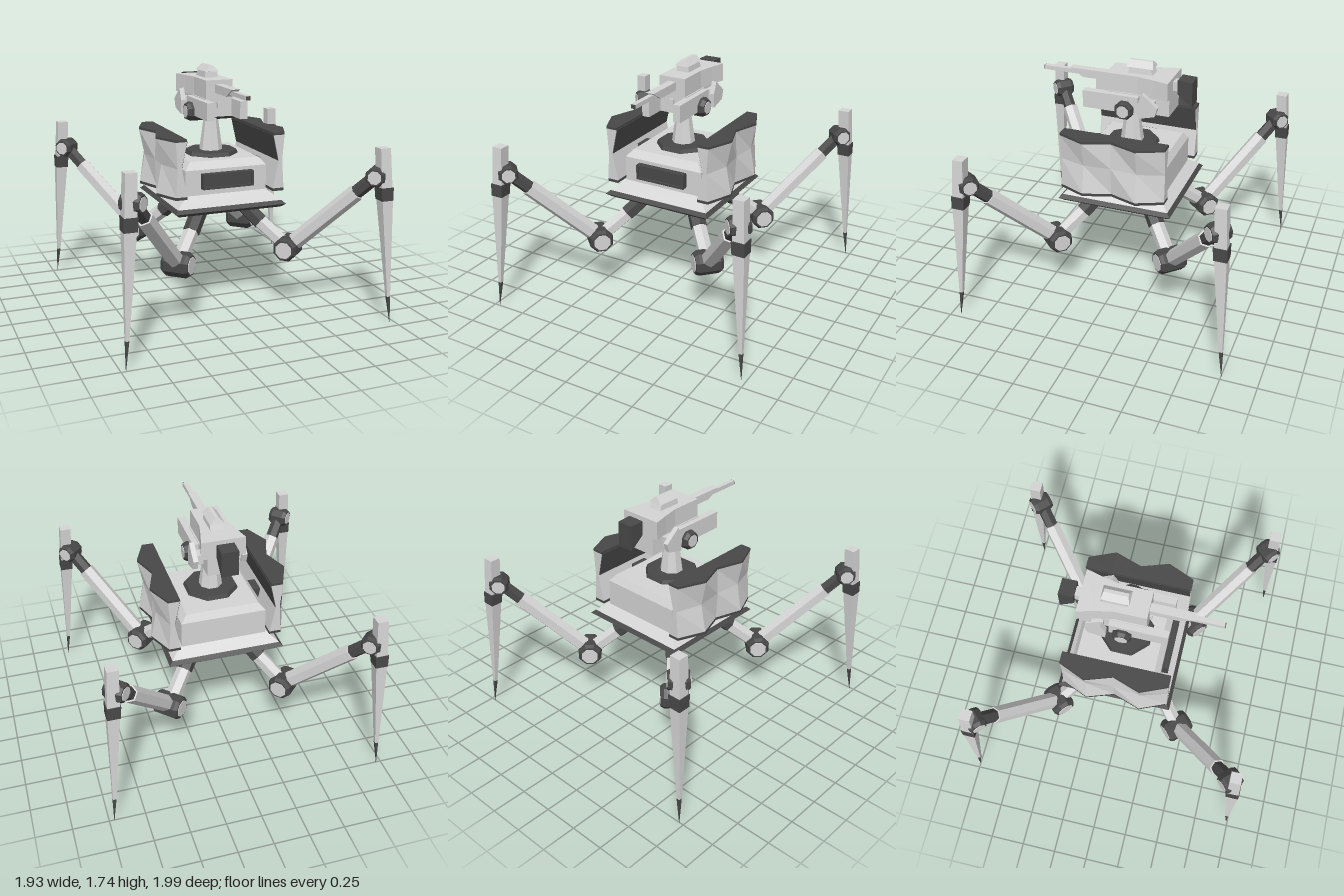
import * as THREE from 'three';

const light = new THREE.MeshStandardMaterial({ color: 0xd4d4d4 });
light.name = 'paleGrey';
const dark = new THREE.MeshStandardMaterial({ color: 0x484848 });
dark.name = 'charcoal';
const D = Math.SQRT2, CZ = -0.035;

// Faceted mesh with a name
function part(parent, name, geo, mat) {
  const g = geo.index ? geo.toNonIndexed() : geo;
  g.computeVertexNormals();
  const m = new THREE.Mesh(g, mat);
  m.name = name;
  parent.add(m);
  return m;
}

// Skin over rings of points, counter-clockwise seen from the end of the path, with caps
function loft(rings) {
  const n = rings[0].length, pos = [];
  const tri = (a, b, c) => pos.push(...a, ...b, ...c);
  for (let k = 0; k < rings.length - 1; k++) {
    for (let i = 0; i < n; i++) {
      const j = (i + 1) % n, a = rings[k], b = rings[k + 1];
      tri(a[i], a[j], b[j]);
      tri(a[i], b[j], b[i]);
    }
  }
  const s = rings[0], e = rings[rings.length - 1];
  for (let i = 1; i < n - 1; i++) {
    tri(s[0], s[i + 1], s[i]);
    tri(e[0], e[i], e[i + 1]);
  }
  return new THREE.BufferGeometry().setAttribute('position', new THREE.Float32BufferAttribute(pos, 3));
}

// Horizontal rectangle ring
const rect = (y, x, z0, z1) => [[x, y, z1], [x, y, z0], [-x, y, z0], [-x, y, z1]];
const square = (y, h) => rect(y, h, CZ - h, CZ + h);

function box(parent, name, mat, x0, x1, y0, y1, z0, z1) {
  const g = new THREE.BoxGeometry(x1 - x0, y1 - y0, z1 - z0);
  g.translate((x0 + x1) / 2, (y0 + y1) / 2, (z0 + z1) / 2);
  return part(parent, name, g, mat);
}

// Side outline given as [z, y], extruded across x
function slab(parent, name, mat, pts, x0, x1) {
  const s = new THREE.Shape(pts.map(([z, y]) => new THREE.Vector2(-z, y)));
  const g = new THREE.ExtrudeGeometry(s, { depth: x1 - x0, bevelEnabled: false });
  g.rotateY(Math.PI / 2);
  g.translate(x0, 0, 0);
  return part(parent, name, g, mat);
}

// Six-sided beam in the leg plane, ridge on top
function beam(parent, name, mat, [x0, y0], [x1, y1], r) {
  const dx = x1 - x0, dy = y1 - y0;
  const g = new THREE.CylinderGeometry(r, r, Math.hypot(dx, dy), 6);
  g.rotateY(Math.PI / 2);
  g.rotateZ(Math.atan2(dy, dx) - Math.PI / 2);
  g.translate((x0 + x1) / 2, (y0 + y1) / 2, 0);
  part(parent, name, g, mat);
}

// Eight-sided joint drum on the z axis with pale end caps
function joint(parent, name, x, y, r, len, capR) {
  const b = r * 0.82, rows = [[-len / 2, b], [-len / 2 + 0.025, r], [len / 2 - 0.025, r], [len / 2, b]];
  const ring = (z, q) => Array.from({ length: 8 }, (_, i) => {
    const a = (i + 0.5) * Math.PI / 4;
    return [x + q * Math.cos(a), y + q * Math.sin(a), z];
  });
  part(parent, name, loft(rows.map(([z, q]) => ring(z, q))), dark);
  part(parent, name + 'Caps', loft([ring(-len / 2 - 0.004, capR), ring(len / 2 + 0.004, capR)]), light);
}

function makeLeg() {
  const leg = new THREE.Group();
  const at = (u, y) => [u * D, y];
  const knee = at(0.43, 0.465), top = at(0.87, 1.05);
  const mix = t => [knee[0] + (top[0] - knee[0]) * t, knee[1] + (top[1] - knee[1]) * t];
  // Inner strut
  beam(leg, 'innerStrutSleeve', dark, at(0.1, 0.845), at(0.28, 0.63), 0.06);
  beam(leg, 'innerStrut', light, at(0.28, 0.63), knee, 0.054);
  joint(leg, 'kneeJoint', knee[0], knee[1], 0.09, 0.2, 0.062);
  // Long rising strut
  beam(leg, 'outerStrut', light, mix(0.08), mix(0.78), 0.06);
  beam(leg, 'outerStrutSleeve', dark, mix(0.76), mix(1), 0.048);
  joint(leg, 'upperJoint', top[0], top[1], 0.072, 0.14, 0.048);
  // Spike foot with a diamond section
  const ring = (y, u, w) => {
    const a = w * D, c = u * D;
    return [[c + a, y, 0], [c, y, -a], [c - a, y, 0], [c, y, a]];
  };
  part(leg, 'spikeTip', loft([ring(0.01, 0.966, 0.001), ring(0.2, 0.951, 0.012)]), dark);
  part(leg, 'spike', loft([ring(0.2, 0.951, 0.012), ring(0.9, 0.912, 0.041), ring(1.25, 0.893, 0.038)]), light);
  part(leg, 'spikeCollar', loft([ring(0.89, 0.912, 0.044), ring(0.98, 0.907, 0.047)]), dark);
  return leg;
}

function makePanel() {
  const panel = new THREE.Group();
  // Zigzag plan, pinched at half height
  const zs = [-0.405, -0.22, -0.025, 0.165, 0.355];
  const full = [0.405, 0.485, 0.42, 0.485, 0.405];
  const waist = [0.39, 0.445, 0.43, 0.445, 0.39];
  const ys = [0.88, 0.9, 1.1, 1.283, 1.3];
  const pinch = y => 1 - Math.min(1, Math.abs(y - 1.09) / 0.19);
  const outer = (i, y) => full[i] + (waist[i] - full[i]) * pinch(y);
  const inner = y => 0.322 + 0.043 * pinch(y);
  ['bottomRim', 'lowerPlate', 'upperPlate', 'topRim'].forEach((name, k) => {
    const a = ys[k], b = ys[k + 1];
    const rings = zs.map((z, i) => [[outer(i, a), a, z], [outer(i, b), b, z], [inner(b), b, z], [inner(a), a, z]]);
    part(panel, name, loft(rings), k % 3 ? light : dark);
  });
  // Dark lining on the inside of the upper half
  const lining = [-0.4, 0.35].map(z => [
    [inner(1.1) + 0.002, 1.1, z], [inner(1.283) + 0.002, 1.283, z],
    [inner(1.283) - 0.004, 1.283, z], [inner(1.1) - 0.004, 1.1, z]]);
  part(panel, 'innerLining', loft(lining), dark);
  box(panel, 'panelMount', dark, 0.29, 0.385, 0.98, 1.065, -0.08, 0.05);
  return panel;
}

function makeTurret() {
  const t = new THREE.Group();
  // Pedestal
  const base = new THREE.CylinderGeometry(0.185, 0.2, 0.035, 8, 1, false, Math.PI / 8);
  part(t, 'pedestalRing', base.translate(0, 1.122, -0.03), dark);
  const neck = new THREE.CylinderGeometry(0.045, 0.085, 0.29, 8, 1, false, Math.PI / 8);
  part(t, 'neck', neck.translate(0, 1.275, -0.03), light);
  // Pivot axle across the housing
  const axle = new THREE.Group();
  axle.name = 'pivotAxle';
  joint(axle, 'axleDrum', 0, 0, 0.07, 0.39, 0.045);
  axle.position.set(0, 1.425, -0.025);
  axle.rotation.y = Math.PI / 2;
  t.add(axle);
  // Housing, flaring towards the back
  box(t, 'lowerHousing', light, -0.11, 0.11, 1.4, 1.53, -0.335, 0.13);
  const hull = [[-0.335, 0.155], [-0.22, 0.125], [-0.1, 0.1], [0.13, 0.1]]
    .map(([z, x]) => [[-x, 1.53, z], [x, 1.53, z], [x, 1.66, z], [-x, 1.66, z]]);
  part(t, 'upperHousing', loft(hull), light);
  // Side rails and fins
  const fin = [[-0.165, 1.575], [-0.13, 1.49], [-0.135, 1.39], [-0.255, 1.42], [-0.275, 1.485]];
  for (const s of [-1, 1]) {
    const span = (a, b) => s > 0 ? [a, b] : [-b, -a];
    box(t, 'sideRail', light, ...span(0.095, 0.15), 1.4, 1.525, -0.12, 0.285);
    slab(t, 'sideFin', light, fin, ...span(0.155, 0.19));
    box(t, 'finArm', light, ...span(0.1, 0.16), 1.44, 1.51, -0.24, -0.16);
  }
  // Gun
  slab(t, 'barrelShroud', light, [[0.12, 1.63], [0.43, 1.63], [0.33, 1.57], [0.12, 1.57]], -0.03, 0.03);
  box(t, 'barrel', light, -0.018, 0.018, 1.585, 1.615, 0.33, 0.63);
  box(t, 'muzzle', dark, -0.016, 0.016, 1.587, 1.613, 0.629, 0.635);
  box(t, 'sensor', light, -0.018, 0.018, 1.465, 1.505, 0.12, 0.15);
  // Roof hatch
  part(t, 'hatch', loft([rect(1.655, 0.05, -0.195, -0.015), rect(1.7, 0.045, -0.175, -0.02),
    rect(1.703, 0.052, -0.195, 0.0), rect(1.745, 0.012, -0.18, -0.015)]), light);
  // Counterweight at the back
  box(t, 'rearLink', light, -0.035, 0.035, 1.565, 1.63, -0.39, -0.33);
  slab(t, 'counterweight', dark, [[-0.375, 1.655], [-0.375, 1.555], [-0.48, 1.47], [-0.48, 1.65]], -0.06, 0.06);
  return t;
}

export function createModel() {
  const model = new THREE.Group();
  model.name = 'walkerTurret';

  // Hull
  const hull = new THREE.Group();
  hull.name = 'hull';
  model.add(hull);
  part(hull, 'skirtRim', loft([square(0.76, 0.385), square(0.785, 0.415), square(0.81, 0.39)]), dark);
  part(hull, 'skirt', loft([square(0.81, 0.39), square(0.88, 0.305)]), light);
  part(hull, 'hullBox', loft([rect(0.87, 0.305, -0.36, 0.27), rect(1.06, 0.305, -0.36, 0.27),
    rect(1.112, 0.26, -0.33, 0.228)]), light);
  // Front grille with a frame
  box(hull, 'grille', dark, -0.18, 0.18, 0.935, 1.025, 0.26, 0.3);
  for (const s of [-1, 1]) {
    const y = 0.98 + s * 0.048, x = s * 0.184;
    box(hull, 'grilleFrame', dark, -0.19, 0.19, y - 0.007, y + 0.007, 0.26, 0.315);
    box(hull, 'grilleFrame', dark, x - 0.007, x + 0.007, 0.93, 1.03, 0.26, 0.315);
  }

  // Side panels
  for (const s of [1, -1]) {
    const panel = makePanel();
    panel.name = s > 0 ? 'leftPanel' : 'rightPanel';
    if (s < 0) {
      panel.rotation.y = Math.PI;
      panel.position.z = -0.05;
    }
    model.add(panel);
  }

  const turret = makeTurret();
  turret.name = 'turret';
  model.add(turret);

  // Four diagonal legs, the front right one set slightly forward
  for (const sx of [-1, 1]) {
    for (const sz of [-1, 1]) {
      const leg = makeLeg();
      leg.name = (sz > 0 ? 'front' : 'back') + (sx > 0 ? 'Left' : 'Right') + 'Leg';
      leg.rotation.y = Math.atan2(-sz, sx);
      leg.position.z = CZ + (sx < 0 && sz > 0 ? 0.06 : 0);
      model.add(leg);
    }
  }
  return model;
}
